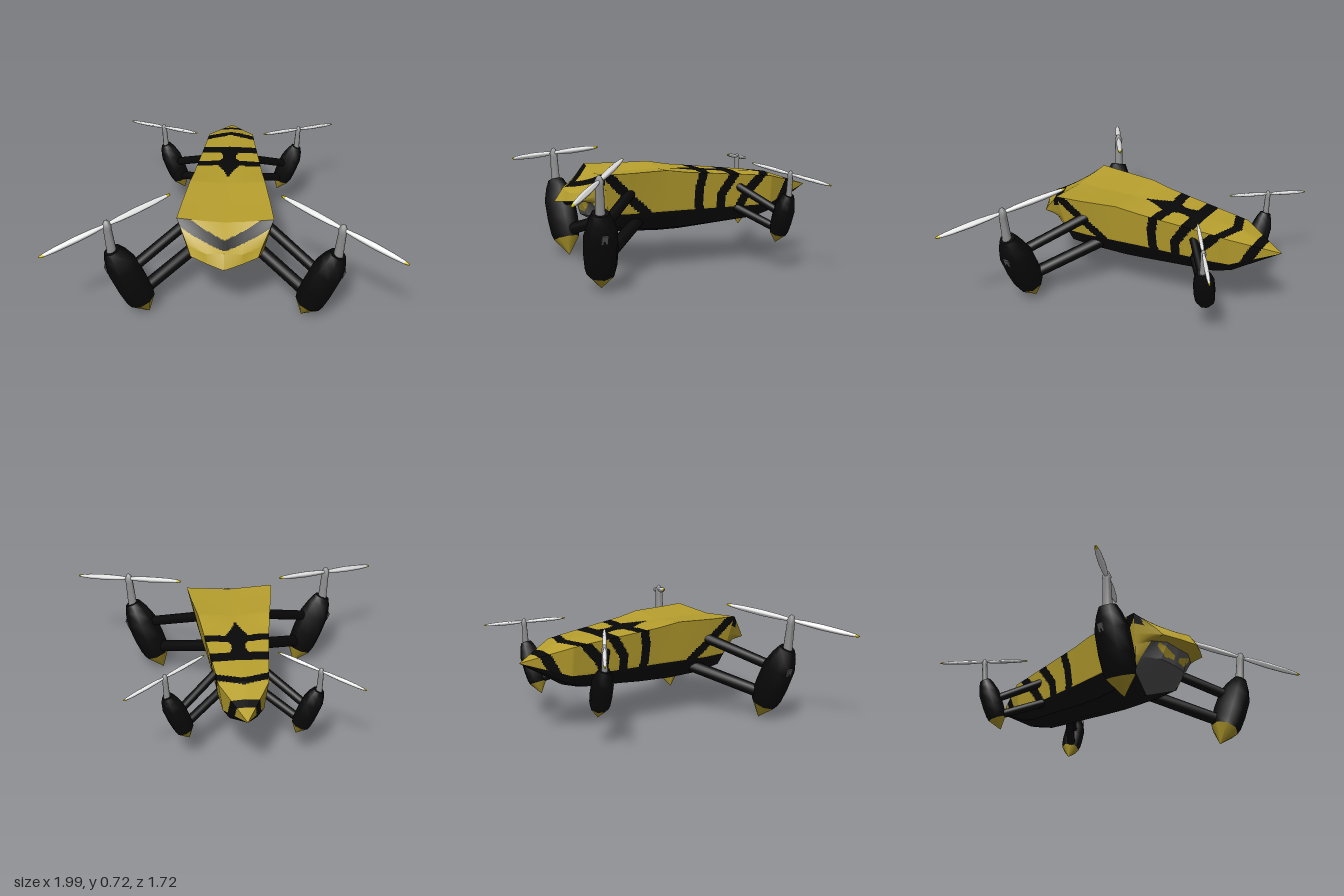
import * as THREE from 'three';
import { toCreasedNormals } from 'three/addons/utils/BufferGeometryUtils.js';

const mat = (name, color) => {
  const m = new THREE.MeshStandardMaterial({ color });
  m.name = name;
  return m;
};
const yellow = mat('yellow', 0xb8a02e), black = mat('black', 0x080808), darkGrey = mat('darkGrey', 0x5a5a5a);
const grey = mat('grey', 0x909090), white = mat('white', 0xe4e4e4), tipYellow = mat('tipYellow', 0xd0c010);
const skin = [yellow, black, darkGrey];
const Y = 0, B = 1, G = 2;
const V = (p) => new THREE.Vector3(...p);

// Mirrored bilinear surface through rows of control points; paint() picks the colour of each cell
function shell(name, rows, step, cols, paint) {
  const tris = [[], [], []];
  const at = (i, j, a, b) => {
    const p = V(rows[i][j]).lerp(V(rows[i + 1][j]), a);
    return p.lerp(V(rows[i][j + 1]).lerp(V(rows[i + 1][j + 1]), a), b);
  };
  const push = (out, ...ps) => {
    for (const p of ps) out.push(p.x, p.y, p.z);
    for (const p of ps.reverse()) out.push(-p.x, p.y, p.z);
  };
  for (let i = 0; i < rows.length - 1; i++) {
    const na = Math.ceil(V(rows[i][0]).distanceTo(V(rows[i + 1][0])) / step) + 1;
    for (let j = 0; j < cols.length; j++) {
      const nb = cols[j];
      for (let k = 0; k < na; k++) for (let l = 0; l < nb; l++) {
        const a = k / na, a2 = (k + 1) / na, b = l / nb, b2 = (l + 1) / nb;
        const p = at(i, j, a, b), q = at(i, j, a2, b), r = at(i, j, a2, b2), s = at(i, j, a, b2);
        const c = at(i, j, (a + a2) / 2, (b + b2) / 2);
        const out = tris[paint(c, i, j)];
        push(out, p, q, r);
        push(out, p, r, s);
      }
    }
  }
  const g = new THREE.BufferGeometry();
  g.setAttribute('position', new THREE.Float32BufferAttribute(tris.flat(), 3));
  let start = 0;
  tris.forEach((t, m) => {
    if (t.length) g.addGroup(start, t.length / 3, m);
    start += t.length / 3;
  });
  const mesh = new THREE.Mesh(toCreasedNormals(g, 0.4), skin);
  mesh.name = name;
  return mesh;
}

// True when (u, v) lies within w of a polyline
function onLine(u, v, pts, w) {
  for (let i = 0; i < pts.length - 1; i++) {
    const [ax, ay] = pts[i], dx = pts[i + 1][0] - ax, dy = pts[i + 1][1] - ay;
    const t = THREE.MathUtils.clamp(((u - ax) * dx + (v - ay) * dy) / (dx * dx + dy * dy), 0, 1);
    if (Math.hypot(u - ax - t * dx, v - ay - t * dy) < w) return true;
  }
  return false;
}

// Stripes on the flanks, as (z, y) lines
const sideStripes = [
  [[0.50, 0.62], [0.37, 0.49], [0.22, 0.35]],
  [[-0.125, 0.62], [-0.095, 0.49], [-0.105, 0.35]],
  [[-0.345, 0.60], [-0.25, 0.46], [-0.245, 0.35]],
  [[-0.53, 0.58], [-0.42, 0.46], [-0.36, 0.35]],
  [[-0.745, 0.53], [-0.67, 0.39]],
];
function paintBody({ x, y, z }, i, j) {
  if (j > 2) return B;
  if (j === 2) return sideStripes.some((s) => onLine(z, y, s, 0.029)) ? B : Y;
  // Back markings: tail band, chevron, two bars with a central spike
  if (z < -0.71 && z > -0.765) return B;
  if (Math.abs(z + 0.58 - x * 0.36) < 0.029) return B;
  if (z > -0.37 && z < -0.295) return B;
  if (onLine(x, z, [[0.22, -0.135], [0.08, -0.14], [0, -0.15]], 0.033)) return B;
  if (z > -0.3 && z < -0.15 && x < 0.04 + 6 * (z + 0.235) ** 2) return B;
  if (z > -0.15 && z < 0.045 && x < (z < -0.04 ? 0.03 + (-0.04 - z) * 0.5 : (0.045 - z) * 0.36)) return B;
  return Y;
}

// Hull sections from tail to neck: top centre, top mid, top edge, flank base, belly edge, keel
function makeBody() {
  const sec = (z, top, xe, ye, xs, ys, xb, yb, keel) =>
    [[0, top, z], [xe / 2, (top + ye) / 2, z], [xe, ye, z], [xs, ys, z], [xb, yb, z], [0, keel, z]];
  const rows = [
    sec(-0.865, 0.469, 0, 0.469, 0, 0.469, 0, 0.469, 0.469),
    sec(-0.585, 0.563, 0.143, 0.55, 0.118, 0.375, 0.08, 0.32, 0.30),
    sec(-0.48, 0.57, 0.153, 0.562, 0.128, 0.37, 0.09, 0.29, 0.27),
    sec(-0.02, 0.602, 0.205, 0.604, 0.165, 0.37, 0.11, 0.26, 0.227),
    sec(0.12, 0.608, 0.223, 0.625, 0.18, 0.37, 0.12, 0.255, 0.223),
    sec(0.35, 0.602, 0.256, 0.62, 0.205, 0.37, 0.14, 0.265, 0.23),
    [[0, 0.598, 0.52], [0.14, 0.608, 0.52], [0.275, 0.62, 0.515], [0.22, 0.38, 0.48], [0.2, 0.31, 0.45], [0, 0.23, 0.38]],
  ];
  return shell('body', rows, 0.0085, [11, 11, 22, 3, 3], paintBody);
}

// Hood with beak, then the face below it
function paintHead({ x, y, z }, i, j) {
  if (i < 1) return Math.abs(z - 0.66 + x * 0.56) < 0.032 ? B : Y;
  if (i < 3) return Y;
  if (j === 2) return y > 0.33 ? Y : B;
  const low = 0.38 + Math.max(0, x - 0.09) * 0.9;
  const high = 0.397 + x * 0.38;
  return x > 0.018 && x < 0.145 && y > low && y < high ? Y : G;
}
function makeHead() {
  const rows = [
    [[0, 0.598, 0.52], [0.14, 0.608, 0.52], [0.275, 0.62, 0.515], [0.275, 0.62, 0.515]],
    [[0, 0.515, 0.705], [0.1, 0.5, 0.69], [0.212, 0.51, 0.62], [0.2613, 0.56, 0.5063]],
    [[0, 0.436, 0.756], [0.1, 0.448, 0.71], [0.19, 0.46, 0.66], [0.2475, 0.5, 0.4975]],
    [[0, 0.45, 0.63], [0.1, 0.46, 0.62], [0.19, 0.45, 0.575], [0.2338, 0.44, 0.4888]],
    [[0, 0.35, 0.6], [0.11, 0.36, 0.58], [0.195, 0.37, 0.5], [0.22, 0.38, 0.48]],
    [[0, 0.23, 0.38], [0.12, 0.278, 0.422], [0.19, 0.306, 0.4465], [0.2, 0.31, 0.45]],
  ];
  return shell('head', rows, 0.006, [16, 18, 8], paintHead);
}

// Lathe whose axis runs from a to b; profile is [radius, fraction of length]
function spindle(name, a, b, profile, sides, material) {
  const from = V(a), dir = V(b).sub(from), len = dir.length();
  const pts = profile.map(([r, t]) => new THREE.Vector2(r, t * len));
  const mesh = new THREE.Mesh(toCreasedNormals(new THREE.LatheGeometry(pts, sides), 1), material);
  mesh.name = name;
  mesh.position.copy(from);
  mesh.quaternion.setFromUnitVectors(new THREE.Vector3(0, 1, 0), dir.normalize());
  return mesh;
}
const rod = (name, a, b, r, material) => spindle(name, a, b, [[0, 0], [r, 0], [r, 1], [0, 1]], 12, material);

// One motor unit: struts, pod with sting, shaft and two-blade rotor
function makeUnit(name, s, side) {
  const flip = ([x, y, z]) => [x * side, y, z];
  const k = s.scale, g = new THREE.Group();
  g.name = name;
  const [tip, top, hub, outer] = [s.tip, s.top, s.hub, s.outer].map(flip);
  const inner = hub.map((h, i) => 2 * h - outer[i]);
  const cap = [hub[0], hub[1] + 0.035 * k, hub[2]];
  s.struts.forEach(([a, b, r]) => g.add(rod('strut', flip(a), flip(b), r, black)));
  g.add(
    spindle('sting', tip, top, [[0, 0], [0.083 * k, 0.22]], 8, yellow),
    spindle('pod', tip, top, [[0.083, 0.22], [0.094, 0.3], [0.1, 0.48], [0.098, 0.74], [0.074, 0.9], [0.05, 1], [0, 1]]
      .map(([r, t]) => [r * k, t]), 8, black),
    spindle('shaft', [top[0], top[1] - 0.03, top[2]], cap,
      [[0.029, 0], [0.024, 0.75], [0.026, 0.85], [0.014, 0.96], [0, 1]].map(([r, t]) => [r * k, t]), 16, grey),
  );
  for (const end of [inner, outer]) {
    g.add(
      spindle('blade', hub, end, [[0.009, 0], [0.016, 0.2], [0.019, 0.45], [0.016, 0.75], [0.01, 0.93]]
        .map(([r, t]) => [r * k, t]), 16, white),
      spindle('bladeTip', hub, end, [[0.01 * k, 0.93], [0.006 * k, 0.98], [0, 1]], 16, tipYellow),
    );
  }
  return g;
}

// Small grey plate on the outer face of a front pod
function makePodPlate(side) {
  const plate = new THREE.Mesh(new THREE.BoxGeometry(0.009, 0.05, 0.036), darkGrey);
  plate.name = 'podPlate';
  plate.position.set(0.675 * side, 0.325, 0.61);
  plate.rotation.z = -0.38 * side;
  return plate;
}

export function createModel() {
  const model = new THREE.Group();
  model.name = 'insectDrone';
  model.add(makeBody(), makeHead());
  const front = {
    scale: 1, tip: [0.447, 0, 0.58], top: [0.635, 0.47, 0.625], hub: [0.655, 0.645, 0.635], outer: [0.997, 0.575, 0.857],
    struts: [[[0.18, 0.51, 0.32], [0.54, 0.33, 0.62], 0.032], [[0.12, 0.32, 0.27], [0.5, 0.15, 0.6], 0.038]],
  };
  const rear = {
    scale: 0.65, tip: [0.31, 0.167, -0.54], top: [0.43, 0.475, -0.572], hub: [0.44, 0.602, -0.577], outer: [0.67, 0.558, -0.733],
    struts: [[[0.1, 0.52, -0.33], [0.38, 0.35, -0.56], 0.025], [[0.06, 0.39, -0.31], [0.35, 0.25, -0.55], 0.026]],
  };
  for (const [word, side] of [['left', 1], ['right', -1]]) {
    model.add(makeUnit(word + 'FrontRotorUnit', front, side), makeUnit(word + 'RearRotorUnit', rear, side));
    model.add(makePodPlate(side));
  }
  return model;
}
